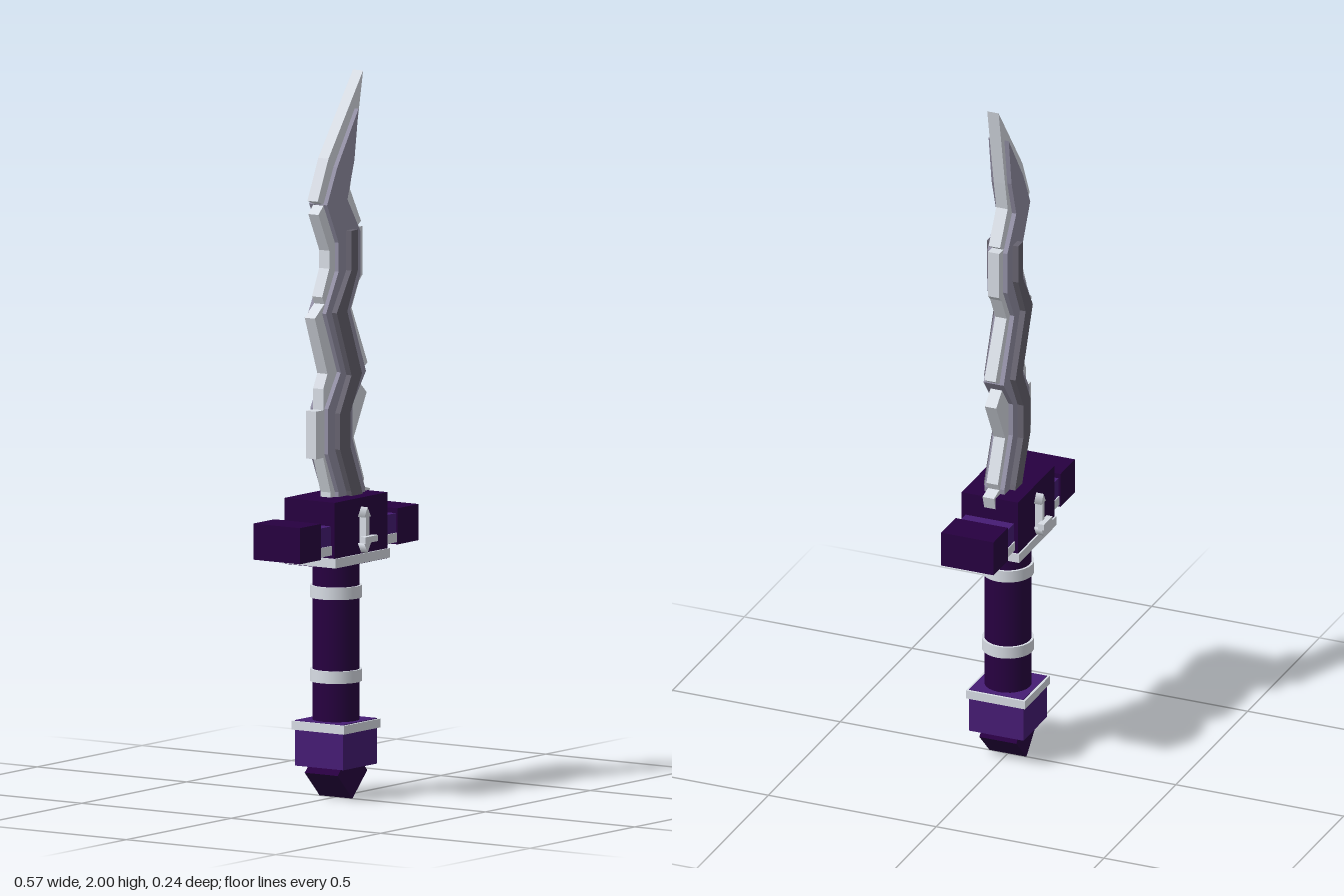
import * as THREE from 'three';

const mat = (name, color) => Object.assign(new THREE.MeshStandardMaterial({ color }), { name });

export function createModel() {
  const darkPurple = mat('dark purple', 0x270040);
  const purple = mat('purple', 0x461c74);
  const silver = mat('silver', 0xd8dde5);
  const midSteel = mat('mid steel', 0x9390a5);
  const coreSteel = mat('core steel', 0x66636f);

  const model = new THREE.Group();
  model.name = 'wavyDagger';

  const add = (name, geometry, material, x = 0, y = 0, z = 0) => {
    const mesh = new THREE.Mesh(geometry, material);
    mesh.name = name;
    mesh.position.set(x, y, z);
    model.add(mesh);
    return mesh;
  };
  // Box given by its centre x and z, its bottom and top, and its width and depth
  const box = (name, material, x, z, y0, y1, w, d) =>
    add(name, new THREE.BoxGeometry(w, y1 - y0, d), material, x, (y0 + y1) / 2, z);
  // Flat blade layer cut from an outline, centred on z = 0
  const layer = (name, material, outline, depth) => {
    const shape = new THREE.Shape(outline.map(([x, y]) => new THREE.Vector2(x, y)));
    const geometry = new THREE.ExtrudeGeometry(shape, { depth, bevelEnabled: false });
    geometry.translate(0, 0, -depth / 2);
    return add(name, geometry, material);
  };

  // Pommel: wedge point, block and silver-rimmed collar
  const point = add('pommelPoint', new THREE.BoxGeometry(0.1, 0.1, 0.11), darkPurple, 0, 0.071, 0);
  point.rotation.z = Math.PI / 4;
  box('pommelBlock', purple, 0, 0, 0.09, 0.195, 0.162, 0.162);
  box('pommelCollar', silver, 0, 0, 0.19, 0.214, 0.176, 0.176);
  box('pommelTop', purple, 0, 0, 0.21, 0.216, 0.162, 0.162);

  // Grip with two rings
  add('grip', new THREE.CylinderGeometry(0.065, 0.065, 0.46, 24), darkPurple, 0, 0.43, 0);
  for (const y of [0.34, 0.572]) {
    add('gripRing', new THREE.CylinderGeometry(0.072, 0.072, 0.034, 24), silver, 0, y, 0);
  }

  // Guard: silver-rimmed base, block, arms and ends
  box('guardRim', silver, 0, 0, 0.655, 0.681, 0.26, 0.178);
  box('guardBase', darkPurple, 0, 0, 0.653, 0.66, 0.248, 0.166);
  box('guardBlock', darkPurple, 0, 0, 0.68, 0.836, 0.252, 0.168);
  for (const s of [-1, 1]) {
    box('guardArm', purple, s * 0.15, 0, 0.715, 0.77, 0.08, 0.144);
    box('guardArmRim', silver, s * 0.15, 0, 0.69, 0.716, 0.08, 0.15);
    box('guardArmBase', purple, s * 0.15, 0, 0.688, 0.695, 0.08, 0.14);
    box('guardEnd', darkPurple, s * 0.233, 0, 0.684, 0.784, 0.1, 0.156);
    // Small cross ornament with arrow tips on each face
    box('ornamentStem', silver, 0, s * 0.094, 0.7, 0.795, 0.016, 0.024);
    box('ornamentBar', silver, 0, s * 0.111, 0.715, 0.732, 0.06, 0.018);
    for (const [y, turn] of [[0.793, 0], [0.702, Math.PI]]) {
      const tip = add('ornamentTip', new THREE.CylinderGeometry(0.018, 0.018, 0.024, 3), silver, 0, y, s * 0.094);
      tip.rotation.set(-Math.PI / 2, turn, 0);
    }
  }

  // Blade: notched cutting edge, raised body and raised core
  layer('bladeEdge', silver, [
    [-0.05, 0.8], [-0.05, 0.85], [-0.085, 0.95], [-0.12, 0.95], [-0.12, 1.082], [-0.085, 1.082],
    [-0.085, 1.14], [-0.065, 1.18], [-0.125, 1.34], [-0.08, 1.375], [-0.09, 1.395], [-0.056, 1.47],
    [-0.056, 1.52], [-0.108, 1.625], [-0.082, 1.65], [-0.112, 1.662], [-0.06, 1.775], [0.105, 2.0],
    [0.06, 1.765], [0.042, 1.68], [0.095, 1.585], [0.072, 1.57], [0.101, 1.57], [0.101, 1.435],
    [0.085, 1.42], [0.05, 1.35], [0.126, 1.19], [0.07, 1.155], [0.122, 1.108], [0.06, 0.99],
    [0.11, 0.87], [0.1, 0.85], [0.138, 0.84], [0.125, 0.8],
  ], 0.034);
  layer('bladeBody', midSteel, [
    [-0.03, 0.8], [-0.03, 0.85], [-0.08, 0.96], [-0.08, 1.085], [-0.02, 1.18], [-0.09, 1.35],
    [-0.03, 1.46], [-0.03, 1.54], [-0.085, 1.65], [-0.036, 1.75], [0.065, 1.9],
    [0.045, 1.76], [0.012, 1.655], [0.074, 1.56], [0.074, 1.44], [0.026, 1.35], [0.1, 1.17],
    [0.036, 1.085], [0.036, 0.99], [0.095, 0.85], [0.095, 0.8],
  ], 0.06);
  // Core strip follows the wave of the blade
  const spine = [[0.045, 0.8], [0.03, 0.85], [-0.022, 0.97], [-0.022, 1.07], [0.032, 1.17],
    [-0.038, 1.35], [0.022, 1.46], [0.022, 1.57]];
  const side = (s) => spine.map(([x, y], i) => [x + s * (i > 5 ? 0.016 : 0.025), y]);
  layer('bladeCore', coreSteel, [...side(-1), ...side(1).reverse()], 0.094);

  return model;
}
